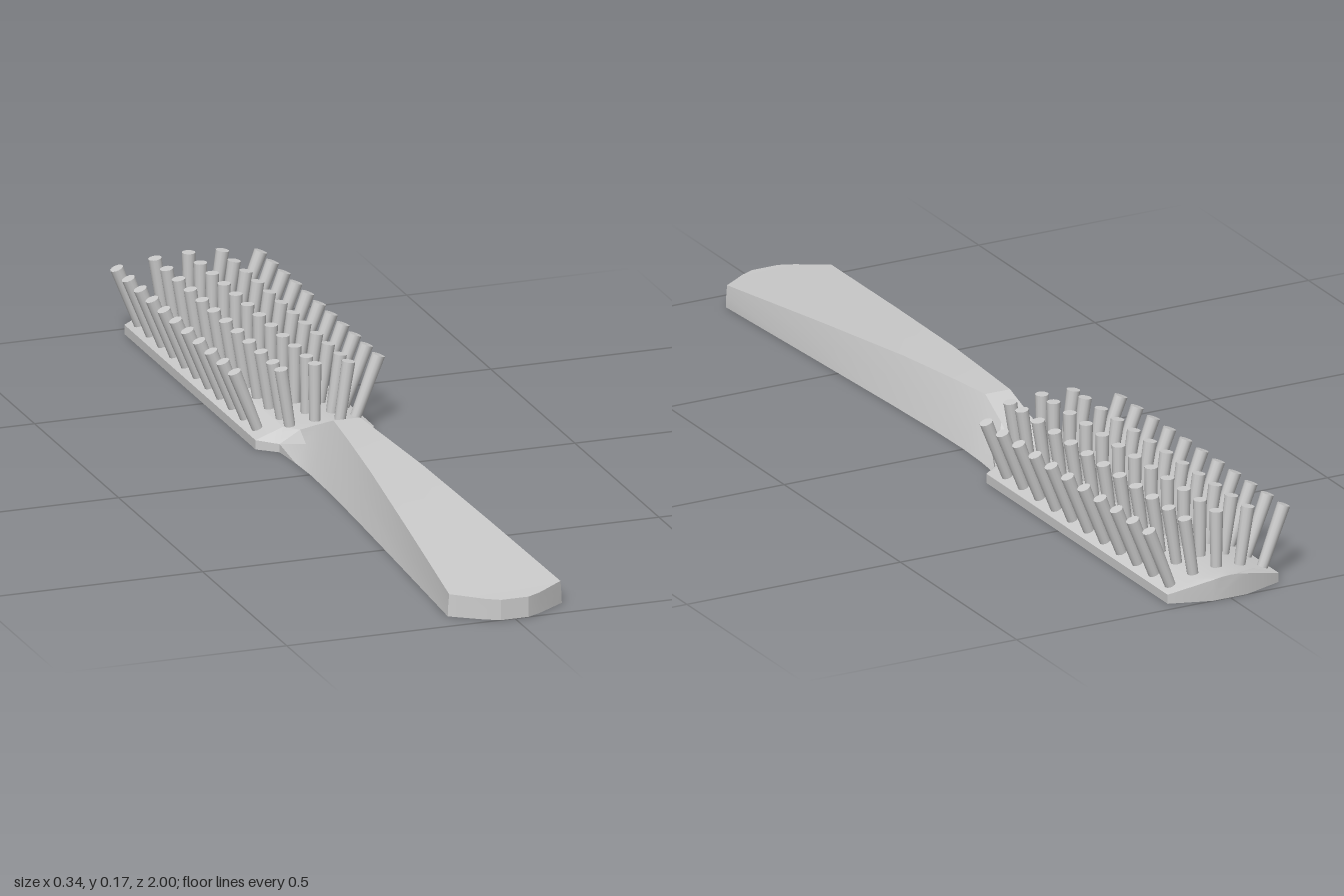
import * as THREE from 'three';
import { toCreasedNormals } from 'three/addons/utils/BufferGeometryUtils.js';

const material = new THREE.MeshStandardMaterial({ color: 0xcccccc });

// Lofts mirrored cross-sections [z, base half width, shoulder x, y, top x, y, crown y], running from +z to -z
function loft(sections) {
  const rings = sections.map(([z, w, x1, y1, x2, y2, c]) => [
    [w, 0, z], [x1, y1, z], [x2, y2, z], [0, c, z], [-x2, y2, z], [-x1, y1, z], [-w, 0, z],
  ]);
  const n = 7, last = rings.length - 1, pos = [];
  const tri = (a, b, c) => pos.push(...a, ...b, ...c);
  for (let i = 0; i < last; i++) {
    for (let j = 0; j < n; j++) {
      const k = (j + 1) % n;
      const a = rings[i][j], b = rings[i][k], c = rings[i + 1][k], d = rings[i + 1][j];
      tri(a, d, b);
      tri(b, d, c);
    }
  }
  for (let j = 1; j < n - 1; j++) {
    tri(rings[0][0], rings[0][j], rings[0][j + 1]);
    tri(rings[last][0], rings[last][j + 1], rings[last][j]);
  }
  const geometry = new THREE.BufferGeometry();
  geometry.setAttribute('position', new THREE.Float32BufferAttribute(pos, 3));
  return toCreasedNormals(geometry, 0.4);
}

export function createModel() {
  const group = new THREE.Group();

  // Handle: wide flat end, rising to a narrow ridge, then dropping to the neck
  const handle = new THREE.Mesh(loft([
    [1.0, 0.03, 0.03, 0.022, 0.03, 0.044, 0.044],
    [0.985, 0.06, 0.06, 0.022, 0.06, 0.045, 0.045],
    [0.94, 0.125, 0.124, 0.024, 0.122, 0.048, 0.048],
    [0.6, 0.106, 0.097, 0.038, 0.088, 0.077, 0.077],
    [0.3, 0.09, 0.074, 0.05, 0.058, 0.1, 0.1],
    [0.12, 0.082, 0.062, 0.054, 0.04, 0.108, 0.108],
    [0, 0.08, 0.056, 0.056, 0.029, 0.112, 0.112],
    [-0.08, 0.083, 0.06, 0.039, 0.035, 0.078, 0.078],
    [-0.155, 0.09, 0.09, 0.018, 0.045, 0.044, 0.046],
  ]), material);
  handle.name = 'handle';
  group.add(handle);

  // Head: shallow domed pad with thin sides and a blunt tip
  const head = new THREE.Mesh(loft([
    [-0.155, 0.09, 0.09, 0.018, 0.045, 0.044, 0.046],
    [-0.19, 0.13, 0.13, 0.02, 0.07, 0.042, 0.05],
    [-0.97, 0.13, 0.13, 0.02, 0.07, 0.042, 0.05],
    [-1.0, 0.04, 0.04, 0.046, 0.02, 0.049, 0.05],
  ]), material);
  head.name = 'head';
  group.add(head);

  // Bristles: rows fanning outward, with a short row at the neck
  const bristles = new THREE.Group();
  bristles.name = 'bristles';
  const columns = [ // base x, y, tip x, y
    [0, 0.035, 0, 0.172],
    [0.053, 0.03, 0.074, 0.168],
    [0.105, 0.02, 0.158, 0.156],
  ];
  const up = new THREE.Vector3(0, 1, 0);
  const addBristle = ([bx, by, tx, ty], side, z) => {
    const base = new THREE.Vector3(side * bx, by, z);
    const tip = new THREE.Vector3(side * tx, ty, z);
    const axis = tip.clone().sub(base);
    const bristle = new THREE.Mesh(new THREE.CylinderGeometry(0.0142, 0.0115, axis.length(), 12), material);
    bristle.position.copy(base).add(tip).multiplyScalar(0.5);
    bristle.quaternion.setFromUnitVectors(up, axis.normalize());
    bristle.name = 'bristle';
    bristles.add(bristle);
  };
  const addRow = (z, count) => {
    addBristle(columns[0], 1, z);
    for (let i = 1; i < count; i++) {
      for (const side of [-1, 1]) addBristle(columns[i], side, z);
    }
  };
  for (let r = 0; r < 11; r++) addRow(-0.94 + r * 0.07, 3);
  addRow(-0.19, 2);
  group.add(bristles);

  return group;
}
